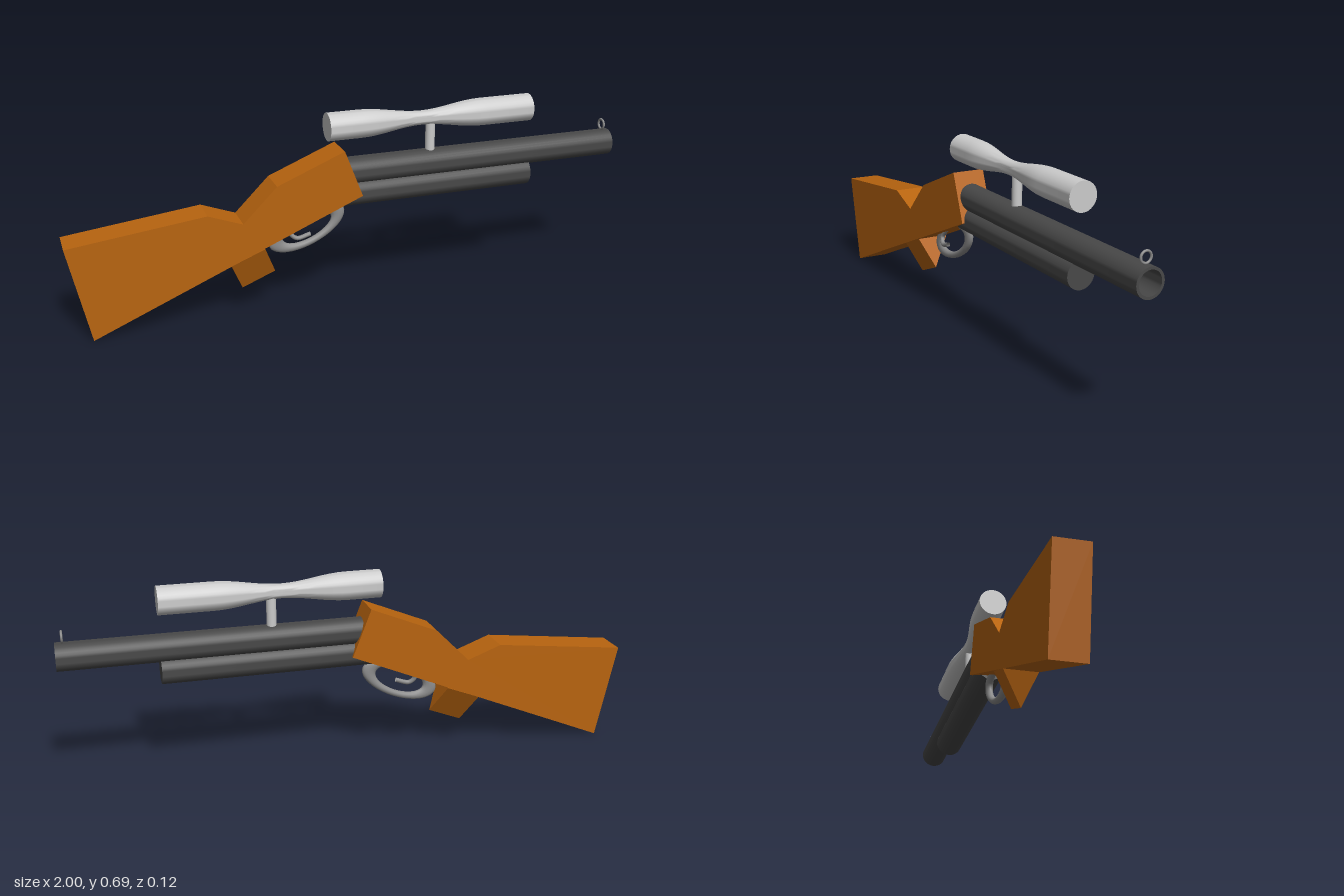
import * as THREE from 'three';
import { toCreasedNormals } from 'three/addons/utils/BufferGeometryUtils.js';
import { ConvexGeometry } from 'three/addons/geometries/ConvexGeometry.js';

const paint = (color) => new THREE.MeshStandardMaterial({ color });
const wood = paint(0xb8640f);
const steel = paint(0x484848);
const silver = paint(0xcccccc);
const guardMetal = paint(0x8c8c8c);

const SLOPE = 0.4; // tilt of the stock's underside, in radians

function add(group, name, geometry, material, x = 0, y = 0, z = 0) {
  const mesh = new THREE.Mesh(geometry, material);
  mesh.name = name;
  mesh.position.set(x, y, z);
  group.add(mesh);
  return mesh;
}

// Turned part lying along x; profile is a list of [x, radius]
function turned(profile) {
  const points = profile.map(([x, r]) => new THREE.Vector2(r, x));
  const geometry = new THREE.LatheGeometry(points, 32).rotateZ(-Math.PI / 2);
  return toCreasedNormals(geometry, 0.6);
}

export function createModel() {
  const model = new THREE.Group();
  model.name = 'rifle';

  // Stock: flat side outline with a constant thickness
  const outline = new THREE.Shape([
    [-1, 0.34], [-0.93, 0.003], [0.015, 0.4], [-0.05, 0.568],
    [-0.29, 0.47], [-0.41, 0.35], [-0.53, 0.395],
  ].map(([x, y]) => new THREE.Vector2(x, y)));
  const stock = new THREE.ExtrudeGeometry(outline, { depth: 0.116, bevelEnabled: false });
  add(model, 'stock', stock.translate(0, 0, -0.058), wood);

  // Grip: wedge with its ridge pointing down, running along the underside
  const grip = [];
  for (const [x, y] of [[-0.455, 0.203], [-0.337, 0.25]]) {
    grip.push(
      new THREE.Vector3(x, y, -0.058),
      new THREE.Vector3(x, y, 0.058),
      new THREE.Vector3(x + 0.045, y - 0.107, 0.01),
    );
  }
  add(model, 'grip', new ConvexGeometry(grip), wood);

  // Hollow barrel with a deep bore, and the solid tube below it
  const barrel = turned([
    [-0.03, 0], [-0.03, 0.048], [1, 0.048], [1, 0.039], [0.03, 0.039], [0.03, 0],
  ]);
  add(model, 'barrel', barrel, steel, 0, 0.478);
  const magazine = turned([[-0.065, 0], [-0.065, 0.049], [0.665, 0.049], [0.665, 0]]);
  add(model, 'magazineTube', magazine, steel, 0, 0.401);

  // Scope: straight ends curving smoothly into a narrow waist
  const scope = [[-0.095, 0], [-0.095, 0.049]];
  for (let i = 0; i <= 16; i++) {
    const t = i / 16;
    scope.push([0.02 + 0.46 * t, 0.037 + 0.012 * Math.cos(t * Math.PI * 2)]);
  }
  scope.push([0.665, 0.049], [0.665, 0]);
  add(model, 'scope', turned(scope), silver, 0, 0.642);
  add(model, 'scopeMount', new THREE.CylinderGeometry(0.017, 0.017, 0.12, 24), silver, 0.285, 0.572);

  // Ring sight near the muzzle
  const sight = new THREE.TorusGeometry(0.018, 0.004, 8, 24).rotateY(Math.PI / 2);
  add(model, 'frontSight', sight, guardMetal, 0.975, 0.546);

  // Trigger guard: ring stretched along the underside
  const guard = add(model, 'triggerGuard', new THREE.TorusGeometry(0.055, 0.012, 12, 40),
    guardMetal, -0.17, 0.284, -0.006);
  guard.scale.x = 2.2;
  guard.rotation.z = SLOPE;

  // Trigger: hook curving forward inside the guard
  const hook = new THREE.CatmullRomCurve3([
    new THREE.Vector3(-0.2, 0.32, 0.004),
    new THREE.Vector3(-0.235, 0.28, 0.01),
    new THREE.Vector3(-0.215, 0.258, 0.017),
    new THREE.Vector3(-0.165, 0.27, 0.022),
  ]);
  const trigger = new THREE.TubeGeometry(hook, 20, 0.008, 10);
  add(model, 'trigger', trigger, guardMetal).material.side = THREE.DoubleSide;

  return model;
}
